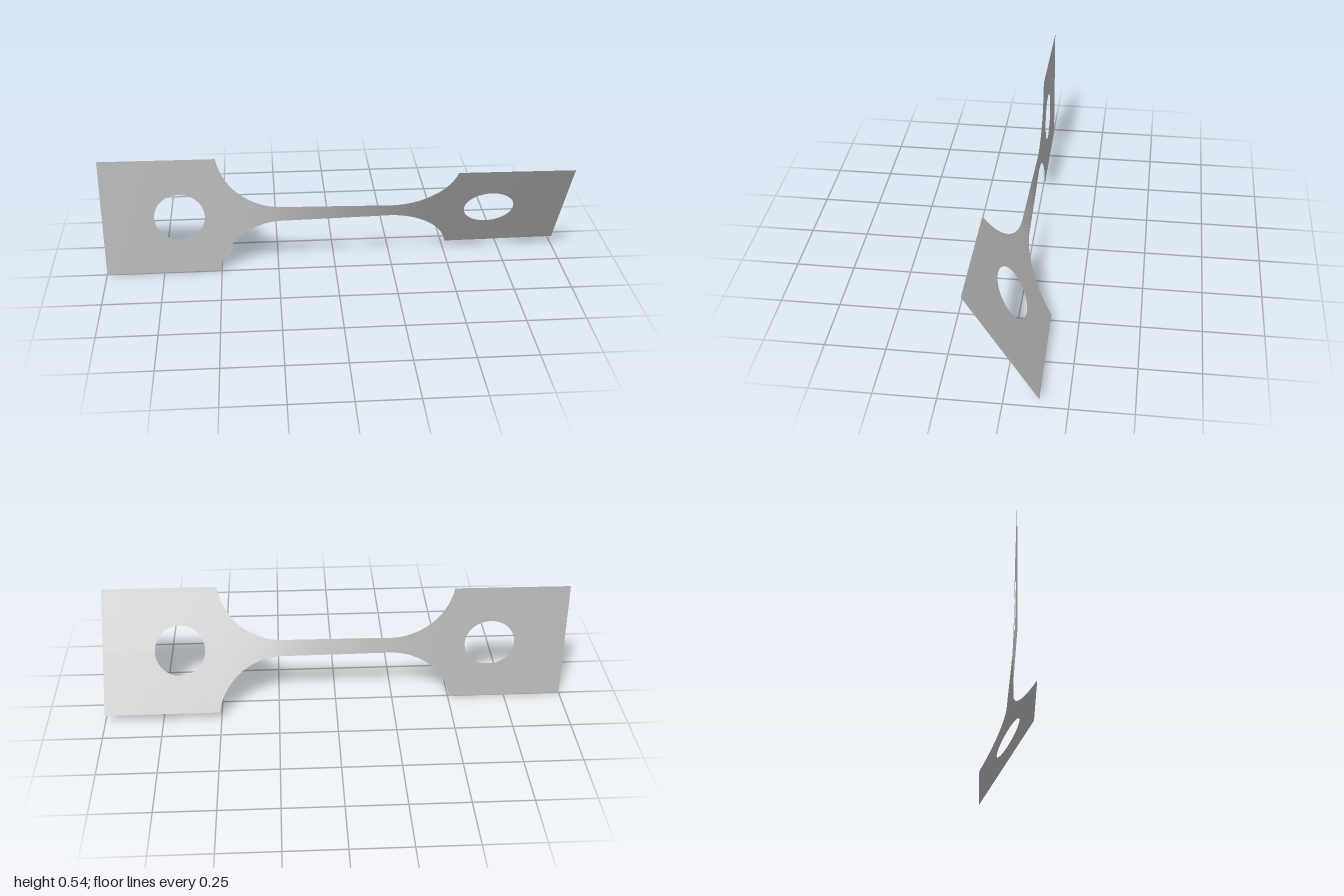
import * as THREE from 'three';

const HALF = 0.271;        // half height of the tabs
const NECK = 0.035;        // half height of the neck
const FILLET = 0.28;       // radius of the shoulder arcs
const NECK_END = 0.23;     // where the straight neck meets the arcs
const SHOULDER = NECK_END + Math.sqrt(FILLET ** 2 - (NECK + FILLET - HALF) ** 2);
const HOLE_X = 0.67, HOLE_R = 0.108;
const TWIST = THREE.MathUtils.degToRad(31.2);

// Half height of the outline at x
function halfHeight(x) {
  const d = Math.abs(x) - NECK_END;
  if (d <= 0) return NECK;
  if (Math.abs(x) >= SHOULDER - 1e-6) return HALF;
  return NECK + FILLET - Math.sqrt(FILLET ** 2 - d * d);
}

// Half height of the hole at x
function holeHeight(x) {
  const d = Math.abs(x) - HOLE_X;
  return Math.sqrt(Math.max(0, HOLE_R ** 2 - d * d));
}

// The strip twists fastest where it is narrow
const STEPS = 800;
const rate = (x) => halfHeight(x) ** -1.5;
const twist = [0];
for (let i = 0; i < STEPS; i++) twist.push(twist[i] + rate(-1 + (2 * (i + 0.5)) / STEPS));
const total = twist[STEPS];

function angleAt(x) {
  const t = ((x + 1) / 2) * STEPS;
  const i = Math.min(STEPS - 1, Math.max(0, Math.floor(t)));
  return (TWIST * THREE.MathUtils.lerp(twist[i], twist[i + 1], t - i)) / total;
}
const slopeAt = (x) => (TWIST * rate(x) * STEPS) / (2 * total);

// Evenly spaced stations, or stations bunched towards both ends
function stations(a, b, n, bunched = false) {
  return Array.from({ length: n + 1 }, (_, i) => {
    const t = bunched ? (1 - Math.cos((Math.PI * i) / n)) / 2 : i / n;
    return a + (b - a) * t;
  });
}

// Twisted sheet: an upper and a lower band, parted by the hole
function sheet(xs) {
  const pos = [], nor = [], idx = [];
  for (const side of [-1, 1]) {
    const base = pos.length / 3;
    xs.forEach((x, i) => {
      const a = angleAt(x), c = Math.cos(a), s = Math.sin(a);
      const edge = side * halfHeight(x), inner = side * holeHeight(x);
      for (const v of side > 0 ? [inner, edge] : [edge, inner]) {
        pos.push(x, HALF + v * c, v * s);
        const n = new THREE.Vector3(-v * slopeAt(x), -s, c).normalize();
        nor.push(n.x, n.y, n.z);
      }
      if (i === 0) return;
      const p = base + 2 * i;
      idx.push(p - 2, p, p + 1, p - 2, p + 1, p - 1);
    });
  }
  const g = new THREE.BufferGeometry();
  g.setAttribute('position', new THREE.Float32BufferAttribute(pos, 3));
  g.setAttribute('normal', new THREE.Float32BufferAttribute(nor, 3));
  g.setIndex(idx);
  return g;
}

export function createModel() {
  const group = new THREE.Group();
  group.name = 'twistedTestStrip';
  const metal = new THREE.MeshStandardMaterial({ color: 0xc0c0c0, side: THREE.DoubleSide });
  metal.name = 'grey metal';

  const add = (name, xs) => {
    const mesh = new THREE.Mesh(sheet(xs), metal);
    mesh.name = name;
    group.add(mesh);
  };

  // Tabs with their round holes
  const tab = [
    ...stations(SHOULDER, HOLE_X - HOLE_R, 3),
    ...stations(HOLE_X - HOLE_R, HOLE_X + HOLE_R, 40, true).slice(1),
    ...stations(HOLE_X + HOLE_R, 1, 8).slice(1),
  ];
  add('leftTab', tab);
  add('rightTab', tab.map((x) => -x).reverse());

  // Curved shoulders, finer near the tabs where the arc is steep
  const shoulder = stations(0, 1, 32).map((t) =>
    NECK_END + (SHOULDER - NECK_END) * Math.sin((t * Math.PI) / 2));
  add('leftShoulder', shoulder);
  add('rightShoulder', shoulder.map((x) => -x).reverse());

  // Straight twisted neck
  add('neck', stations(-NECK_END, NECK_END, 40));
  return group;
}
